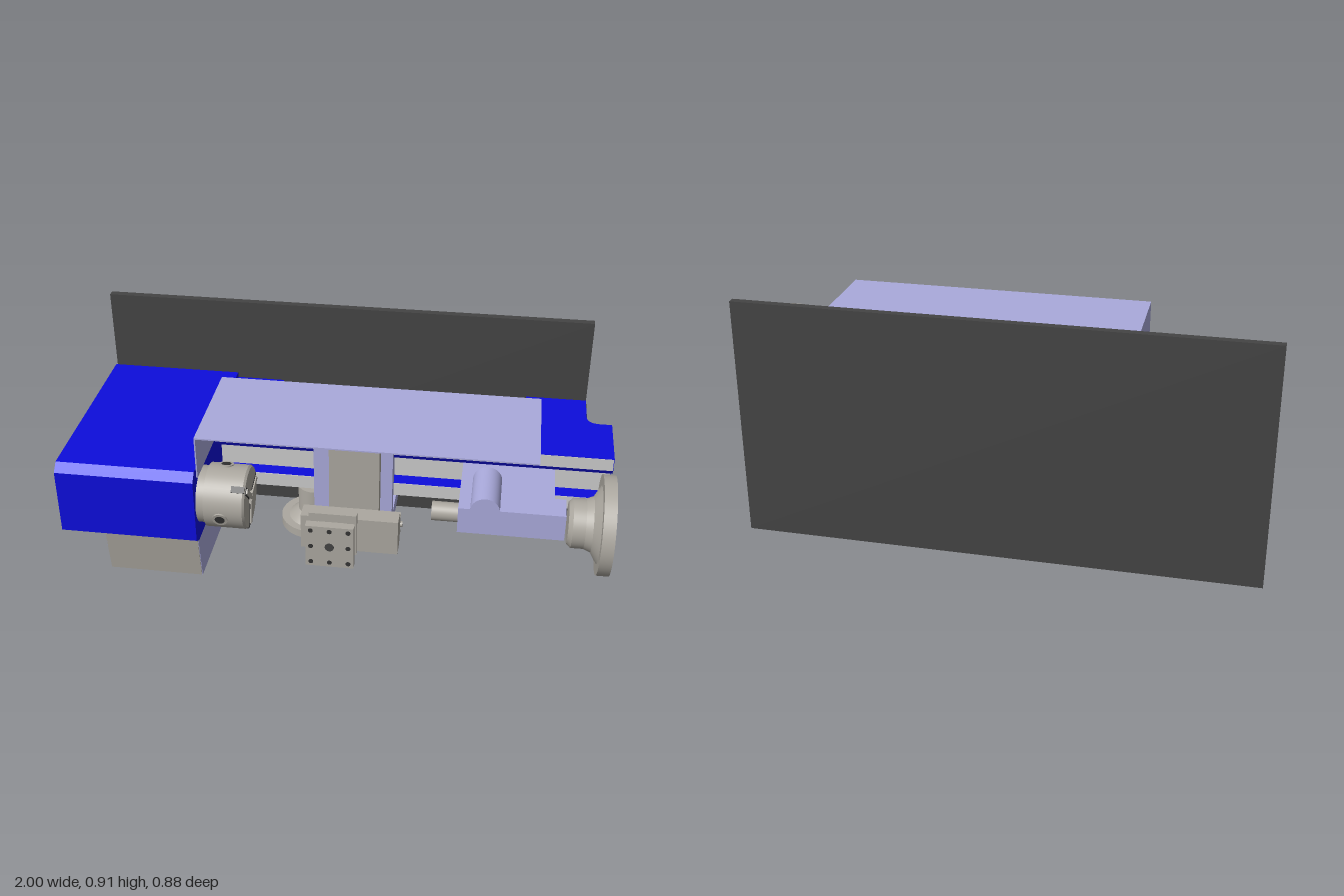
import * as THREE from 'three';

const mat = (color) => new THREE.MeshStandardMaterial({ color, side: THREE.DoubleSide });
const blue = mat(0x0d0ddc), lilac = mat(0xaaaadc), steel = mat(0xaca8a0);
const pale = mat(0xcccccc), dark = mat(0x444444), black = mat(0x333333);

export function createModel() {
  const root = new THREE.Group();

  function add(name, geometry, material, parent = root) {
    const m = new THREE.Mesh(geometry, material);
    m.name = name;
    parent.add(m);
    return m;
  }
  // Box given by its limits on each axis
  function box(name, material, x0, x1, y0, y1, z0, z1, parent = root) {
    const m = add(name, new THREE.BoxGeometry(x1 - x0, y1 - y0, z1 - z0), material, parent);
    m.position.set((x0 + x1) / 2, (y0 + y1) / 2, (z0 + z1) / 2);
    return m;
  }
  // Cylinder centred on a point, along the chosen axis
  function rod(name, material, r, length, axis, x, y, z, parent = root) {
    const g = new THREE.CylinderGeometry(r, r, length, 40);
    if (axis === 'x') g.rotateZ(-Math.PI / 2);
    if (axis === 'z') g.rotateX(Math.PI / 2);
    const m = add(name, g, material, parent);
    m.position.set(x, y, z);
    return m;
  }
  function polygon(points) {
    return new THREE.Shape(points.map(([a, b]) => new THREE.Vector2(a, b)));
  }
  // Profile of [z, y] points extruded along x
  function profileX(name, material, points, x0, x1) {
    const g = new THREE.ExtrudeGeometry(polygon(points.map(([z, y]) => [-z, y])),
      { depth: x1 - x0, bevelEnabled: false });
    g.rotateY(Math.PI / 2);
    const m = add(name, g, material);
    m.position.x = x0;
    return m;
  }
  // Turned part: each straight segment is its own band so edges stay sharp
  function turned(name, material, points) {
    const group = new THREE.Group();
    group.name = name;
    for (let i = 0; i + 1 < points.length; i++) {
      add(name + 'Band', new THREE.LatheGeometry(
        [points[i], points[i + 1]].map(([r, h]) => new THREE.Vector2(r, h)), 56), material, group);
    }
    root.add(group);
    return group;
  }

  // Splash plate behind the machine
  box('backPlate', dark, -1, 0.905, 0, 0.91, -0.44, -0.412);

  // Headstock housing with chamfered front edges
  profileX('headstock', blue, [[-0.395, 0.305], [0.355, 0.305], [0.385, 0.325],
    [0.385, 0.575], [0.355, 0.605], [-0.395, 0.605]], -1, -0.49);

  // Control box under the headstock
  profileX('controlBox', lilac, [[-0.305, 0.08], [0.27, 0.08], [0.298, 0.285],
    [0.298, 0.305], [-0.335, 0.305], [-0.335, 0.29], [-0.305, 0.29]], -0.87, -0.51);
  const panel = box('controlPanel', steel, -0.868, -0.512, 0.083, 0.29, -0.002, 0.002);
  panel.position.z = 0.287;
  panel.rotation.x = Math.atan2(0.028, 0.205);

  // Bed: rear web with two filleted feet
  const plan = polygon([[-0.545, 0.06], [1, 0.06], [1, 0.235], [0.955, 0.235]]);
  plan.quadraticCurveTo(0.905, 0.235, 0.905, 0.285);
  plan.lineTo(0.905, 0.412);
  plan.lineTo(0.67, 0.412);
  plan.lineTo(0.67, 0.285);
  plan.quadraticCurveTo(0.67, 0.235, 0.62, 0.235);
  plan.lineTo(-0.255, 0.235);
  plan.quadraticCurveTo(-0.305, 0.235, -0.305, 0.285);
  plan.lineTo(-0.305, 0.412);
  plan.lineTo(-0.545, 0.412);
  const web = new THREE.ExtrudeGeometry(plan, { depth: 0.242, bevelEnabled: false, curveSegments: 10 });
  web.rotateX(-Math.PI / 2);
  add('bedWeb', web, blue).position.y = 0.333;
  box('footPad', black, 0.9, 0.908, 0.35, 0.56, -0.411, -0.275);

  // Upper and lower bed flanges with ground faces
  profileX('upperFlange', blue, [[-0.06, 0.525], [-0.02, 0.525], [-0.02, 0.505], [0, 0.505],
    [0.012, 0.525], [0.012, 0.575], [-0.06, 0.575]], -0.5, 1);
  profileX('lowerFlange', blue, [[-0.06, 0.333], [-0.003, 0.333], [-0.003, 0.388], [-0.06, 0.388]], -0.5, 1);
  box('upperWay', pale, -0.49, 0.998, 0.525, 0.573, 0.01, 0.014);
  box('lowerWay', pale, -0.49, 0.998, 0.335, 0.388, -0.004, 0);
  box('slotFace', pale, -0.49, 0.998, 0.39, 0.524, -0.062, -0.057);

  // Chip cover, open at the front, right and bottom
  box('coverTop', lilac, -0.485, 0.72, 0.735, 0.74, -0.107, 0.345);
  box('coverBack', lilac, -0.485, 0.72, 0.575, 0.74, -0.107, -0.102);
  box('coverEnd', lilac, -0.485, -0.48, 0.575, 0.74, -0.107, 0.345);

  // Three-jaw chuck
  const ay = 0.455, az = 0.264;
  const chuck = turned('chuck', steel, [[0, 0], [0.105, 0], [0.105, 0.03], [0.118, 0.03],
    [0.118, 0.172], [0.112, 0.18], [0.025, 0.18], [0.025, 0.1], [0, 0.1]]);
  chuck.rotation.z = -Math.PI / 2;
  chuck.position.set(-0.49, ay, az);
  for (let i = 0; i < 3; i++) {
    const jaw = new THREE.Group();
    jaw.name = 'chuckJaw';
    box('jawSlot', black, -0.312, -0.308, 0.025, 0.108, -0.014, 0.014, jaw);
    box('jaw', steel, -0.33, -0.303, 0.012, 0.1, -0.009, 0.009, jaw);
    box('jawSideSlot', black, -0.36, -0.312, 0.114, 0.12, -0.012, 0.012, jaw);
    const key = new THREE.Group();
    key.name = 'keySocket';
    rod('socketRing', steel, 0.028, 0.012, 'y', -0.4, 0.115, 0, key);
    rod('socketHole', black, 0.018, 0.014, 'y', -0.4, 0.115, 0, key);
    key.rotation.x = Math.PI / 3;
    jaw.add(key);
    jaw.position.set(0, ay, az);
    jaw.rotation.x = Math.PI / 4 + i * Math.PI * 2 / 3;
    root.add(jaw);
  }

  // Tailstock: base on the bed, barrel, clamp boss and quill
  box('tailstockBase', lilac, 0.45, 0.79, 0.405, 0.505, -0.02, 0.2);
  box('tailstockBarrel', lilac, 0.45, 0.83, 0.405, 0.508, 0.2, 0.308);
  rod('clampBoss', lilac, 0.053, 0.21, 'z', 0.545, 0.502, 0.203);
  box('tailstockGib', steel, 0.6, 0.76, 0.39, 0.405, 0, 0.12);
  rod('quill', steel, 0.035, 0.12, 'x', 0.415, 0.46, az);

  // Tailstock handwheel with dished face
  const wheel = turned('tailstockHandwheel', steel, [[0, 0], [0.075, 0], [0.09, 0.015], [0.09, 0.06],
    [0.1, 0.085], [0.14, 0.11], [0.18, 0.11], [0.18, 0.155], [0.126, 0.155], [0.11, 0.1], [0, 0.09]]);
  wheel.rotation.z = -Math.PI / 2;
  wheel.position.set(0.838, ay, az);
  rod('tailstockScrew', steel, 0.025, 0.03, 'x', 0.935, ay, az);

  // Carriage saddle and apron
  box('saddle', lilac, -0.11, 0.19, 0.19, 0.612, 0, 0.047);
  box('saddleGuide', lilac, -0.11, 0.19, 0.388, 0.505, -0.02, 0.005);
  box('apron', lilac, -0.11, 0.19, 0.19, 0.255, -0.215, 0.01);

  // Cross slide
  box('crossSlide', steel, -0.045, 0.145, 0.16, 0.613, 0.047, 0.094);
  box('crossSlideEnd', steel, -0.04, 0.138, 0.16, 0.19, 0.022, 0.047);

  // Compound slide with dovetail end
  box('compoundBase', steel, -0.14, 0.228, 0.19, 0.335, 0.112, 0.185);
  profileX('compoundDovetail', steel, [[0.066, 0.22], [0.086, 0.235], [0.086, 0.285],
    [0.066, 0.302], [0.115, 0.302], [0.115, 0.22]], -0.14, 0.228);
  rod('compoundScrew', steel, 0.011, 0.012, 'x', 0.23, 0.262, 0.086);

  // Tool post: two square plates on a core, with clamp screws
  box('toolPostBase', steel, -0.105, 0.075, 0.187, 0.365, 0.185, 0.207);
  box('toolPostCore', steel, -0.07, 0.04, 0.225, 0.33, 0.207, 0.257);
  box('toolPostTop', steel, -0.105, 0.075, 0.187, 0.365, 0.257, 0.291);
  for (let i = -1; i <= 1; i++) {
    for (let j = -1; j <= 1; j++) {
      const r = i || j ? 0.009 : 0.017;
      rod('clampScrew', i || j ? black : dark, r, 0.004, 'z', -0.015 + i * 0.07, 0.276 + j * 0.07, 0.291);
    }
  }

  // Cross-feed handwheel, dished underneath
  const feed = turned('crossFeedHandwheel', steel, [[0, 0.175], [0.067, 0.175], [0.067, 0.066],
    [0.105, 0.033], [0.136, 0.033], [0.136, 0], [0.1, 0], [0.088, 0.04], [0, 0.045]]);
  feed.position.set(-0.14, 0.079, -0.156);
  rod('crossFeedScrew', steel, 0.02, 0.03, 'y', -0.14, 0.118, -0.156);

  return root;
}
